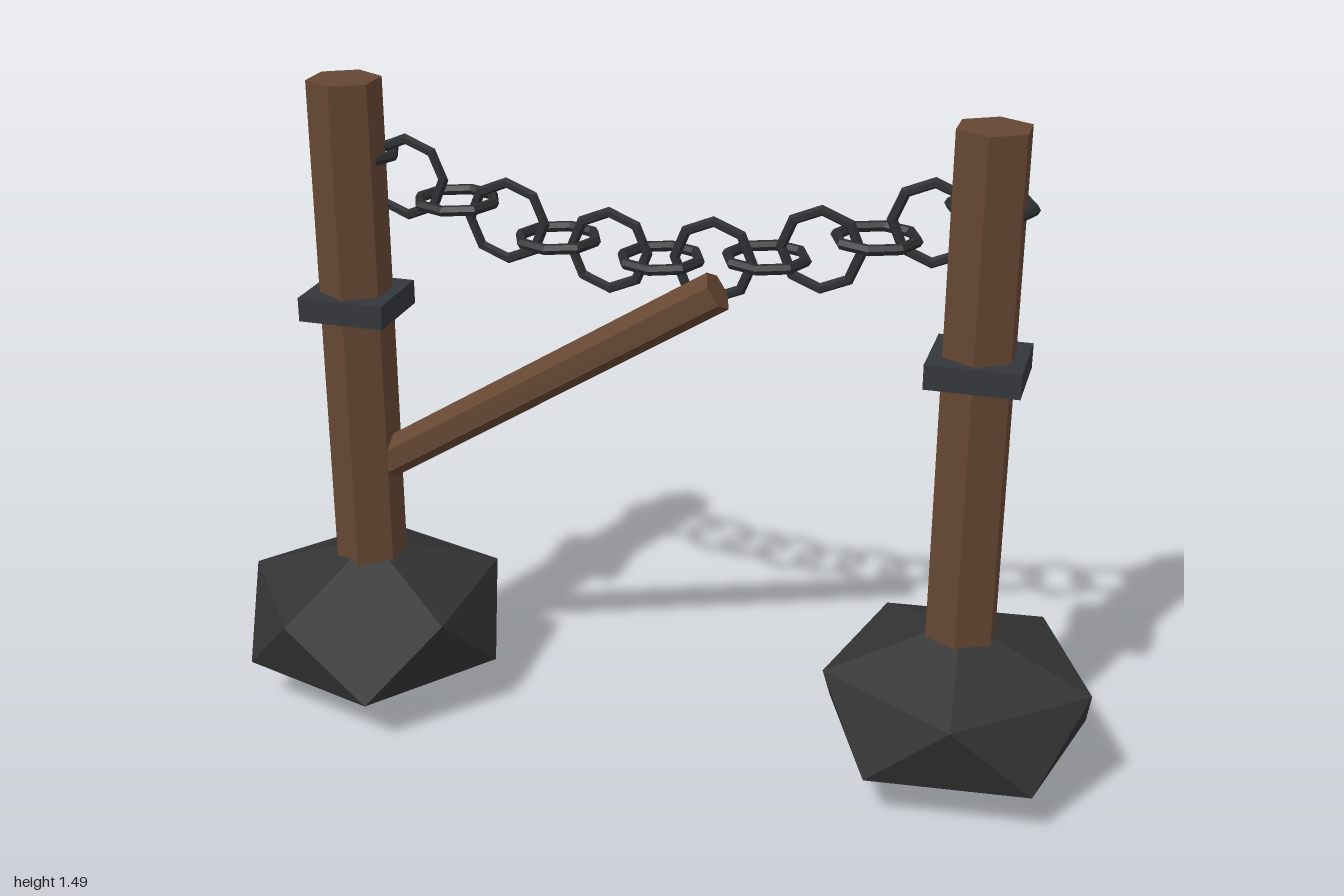
import * as THREE from 'three';

const flat = (name, color) => {
  const m = new THREE.MeshStandardMaterial({ color, flatShading: true });
  m.name = name;
  return m;
};

export function createModel() {
  const wood = flat('brown wood', 0x654632);
  const stone = flat('dark stone', 0x333333);
  const iron = flat('iron band', 0x33363a);
  const chainIron = flat('chain iron', 0x2b2e30);

  const model = new THREE.Group();
  model.name = 'chainBarrier';
  const add = (parent, name, geometry, material, x, y, z) => {
    const mesh = new THREE.Mesh(geometry, material);
    mesh.name = name;
    mesh.position.set(x, y, z);
    parent.add(mesh);
    return mesh;
  };

  // Squashed icosahedron standing on one of its corners
  const rock = (turn) => new THREE.IcosahedronGeometry(0.341, 0)
    .rotateZ(-Math.atan(2 / (1 + Math.sqrt(5))))
    .rotateY(turn)
    .scale(1, 0.565, 1);

  // Two hexagonal posts, each with a rock foot and a square band
  const centreX = 0.004;
  const half = 0.7;
  [['right', -1, Math.PI], ['left', 1, -1.475]].forEach(([side, sign, turn]) => {
    const post = new THREE.Group();
    post.name = side + 'Post';
    post.position.x = centreX + sign * half;
    add(post, 'rockBase', rock(turn), stone, 0, 0.193, 0);
    add(post, 'postShaft', new THREE.CylinderGeometry(0.082, 0.082, 1.3, 6), wood, 0, 0.84, 0);
    add(post, 'band', new THREE.BoxGeometry(0.2, 0.055, 0.187), iron, 0, 0.982, 0);
    model.add(post);
  });

  // Diagonal brace rising from the right post
  const from = new THREE.Vector2(-0.697, 0.565);
  const to = new THREE.Vector2(0.143, 1.09);
  const along = to.clone().sub(from);
  const brace = add(model, 'brace',
    new THREE.CylinderGeometry(0.046, 0.046, along.length(), 6).rotateY(Math.PI / 2), wood,
    (from.x + to.x) / 2, (from.y + to.y) / 2, 0);
  brace.rotation.z = along.angle() - Math.PI / 2;

  // Sagging chain of alternating flat and upright links
  const chain = new THREE.Group();
  chain.name = 'chain';
  model.add(chain);
  const link = new THREE.TorusGeometry(0.086, 0.012, 6, 8);
  const steps = 12;
  for (let i = 0; i <= steps; i++) {
    const u = i / steps;
    const mesh = add(chain, 'chainLink', link, chainIron,
      centreX + (2 * u - 1) * half, 1.313 - 0.177 * Math.sin(Math.PI * u), -0.045);
    if (i % 2 === 0) mesh.rotation.x = Math.PI / 2;
  }

  return model;
}
